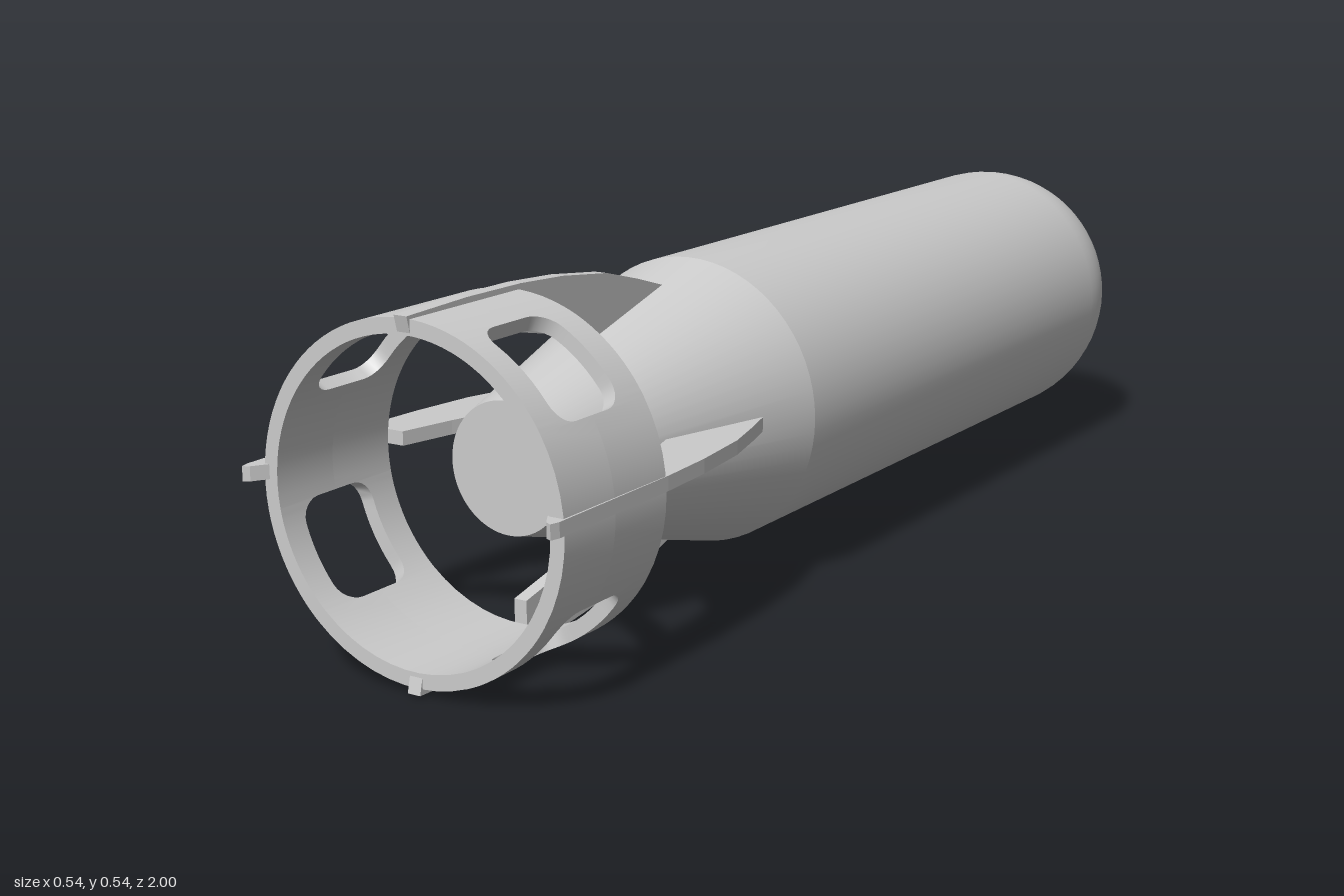
import * as THREE from 'three';
import { toCreasedNormals } from 'three/addons/utils/BufferGeometryUtils.js';

const material = new THREE.MeshStandardMaterial({ color: 0xcccccc });
const AXIS_X = 0.009, AXIS_Y = 0.276;

function addMesh(parent, name, geometry) {
  const mesh = new THREE.Mesh(geometry, material);
  mesh.name = name;
  parent.add(mesh);
  return mesh;
}

// Round nose, straight barrel and tapered tail, turned around z
function bodyGeometry() {
  const R = 0.232, points = [];
  for (let i = 0; i <= 16; i++) {
    const t = (i / 16) * Math.PI / 2;
    points.push(new THREE.Vector2(R * Math.sin(t), -0.768 - R * Math.cos(t)));
  }
  points.push(new THREE.Vector2(R, 0.28), new THREE.Vector2(0.1, 0.755), new THREE.Vector2(0, 0.755));
  return toCreasedNormals(new THREE.LatheGeometry(points, 64).rotateX(Math.PI / 2), 0.2);
}

// Window outline around the ring: angle and half height at each column
function ringColumns() {
  const half = THREE.MathUtils.degToRad(19.5), height = 0.072, corner = 0.035;
  const cornerAngle = corner / 0.25;
  const centres = [50, 130, 209, 310].map(THREE.MathUtils.degToRad);
  const columns = [];
  centres.forEach((c, k) => {
    const side = [];
    for (let i = 0; i <= 6; i++) {
      const t = (i / 6) * Math.PI / 2;
      side.push([half - cornerAngle * (1 - Math.cos(t)), height - corner + corner * Math.sin(t)]);
    }
    columns.push([c - half, 0]);
    side.forEach(([a, h]) => columns.push([c - a, h]));
    const flat = half - cornerAngle;
    for (let i = 1; i < 6; i++) columns.push([c - flat + (2 * flat * i) / 6, height]);
    side.reverse().forEach(([a, h]) => columns.push([c + a, h]));
    // solid strip up to the next window
    const next = k < 3 ? centres[k + 1] : centres[0] + Math.PI * 2;
    const start = c + half, end = next - half;
    for (let i = 0; i < 10; i++) columns.push([start + ((end - start) * i) / 10, 0]);
  });
  columns.push([centres[0] - half + Math.PI * 2, 0]);
  return columns;
}

// One half of the ring: a rectangular section swept along the columns
function ringBand(zRange) {
  const outer = 0.261, inner = 0.238, positions = [], index = [];
  const columns = ringColumns();
  columns.forEach(([a, h]) => {
    const [zA, zB] = zRange(h);
    for (const [r, z] of [[outer, zA], [outer, zB], [inner, zB], [inner, zA]]) {
      positions.push(r * Math.cos(a), r * Math.sin(a), z);
    }
  });
  for (let i = 0; i < columns.length - 1; i++) {
    for (let j = 0; j < 4; j++) {
      const a = i * 4 + j, b = a + 4, d = i * 4 + ((j + 1) % 4), c = d + 4;
      index.push(a, b, c, a, c, d);
    }
  }
  const geometry = new THREE.BufferGeometry();
  geometry.setAttribute('position', new THREE.Float32BufferAttribute(positions, 3));
  geometry.setIndex(index);
  return toCreasedNormals(geometry, 0.6);
}

// Fin plate outlined as (z, radius), standing on the top of the body
function finGeometry(tail) {
  const outline = [
    [0.36, 0.203], [0.44, 0.228], [0.52, 0.25], [0.63, 0.264], [0.73, 0.27], ...tail,
    [0.735, 0.243], [0.735, 0.2], [0.645, 0.18], [0.557, 0.155], [0.5, 0.12], [0.38, 0.17],
  ].map(([z, r]) => new THREE.Vector2(z, r));
  return new THREE.ExtrudeGeometry(new THREE.Shape(outline), { depth: 0.022, bevelEnabled: false })
    .translate(0, 0, -0.011)
    .rotateY(-Math.PI / 2);
}

export function createModel() {
  const model = new THREE.Group();
  model.name = 'finnedBomb';

  addMesh(model, 'body', bodyGeometry()).position.set(AXIS_X, AXIS_Y, 0);

  // Tail ring with four rounded windows
  const ring = new THREE.Group();
  ring.name = 'tailRing';
  ring.position.set(AXIS_X, AXIS_Y - 0.001, 0);
  const middle = 0.857;
  addMesh(ring, 'ringFrontHalf', ringBand((h) => [middle + h, 0.972]));
  addMesh(ring, 'ringBackHalf', ringBand((h) => [0.735, middle - h]));
  model.add(ring);

  // Upright fins end flush with the ring; level fins run on to a point
  const uprightFin = finGeometry([[0.85, 0.271], [0.978, 0.267], [0.972, 0.243]]);
  const levelFin = finGeometry([[0.985, 0.272], [1.0, 0.268], [0.995, 0.258], [0.972, 0.243]]);
  ['topFin', 'leftFin', 'bottomFin', 'rightFin'].forEach((name, i) => {
    const level = i % 2 === 1;
    const fin = addMesh(model, name, level ? levelFin : uprightFin);
    fin.rotation.z = -i * Math.PI / 2;
    fin.position.set(level ? 0 : 0.011, level ? 0.287 : 0.2735, 0);
  });
  return model;
}
